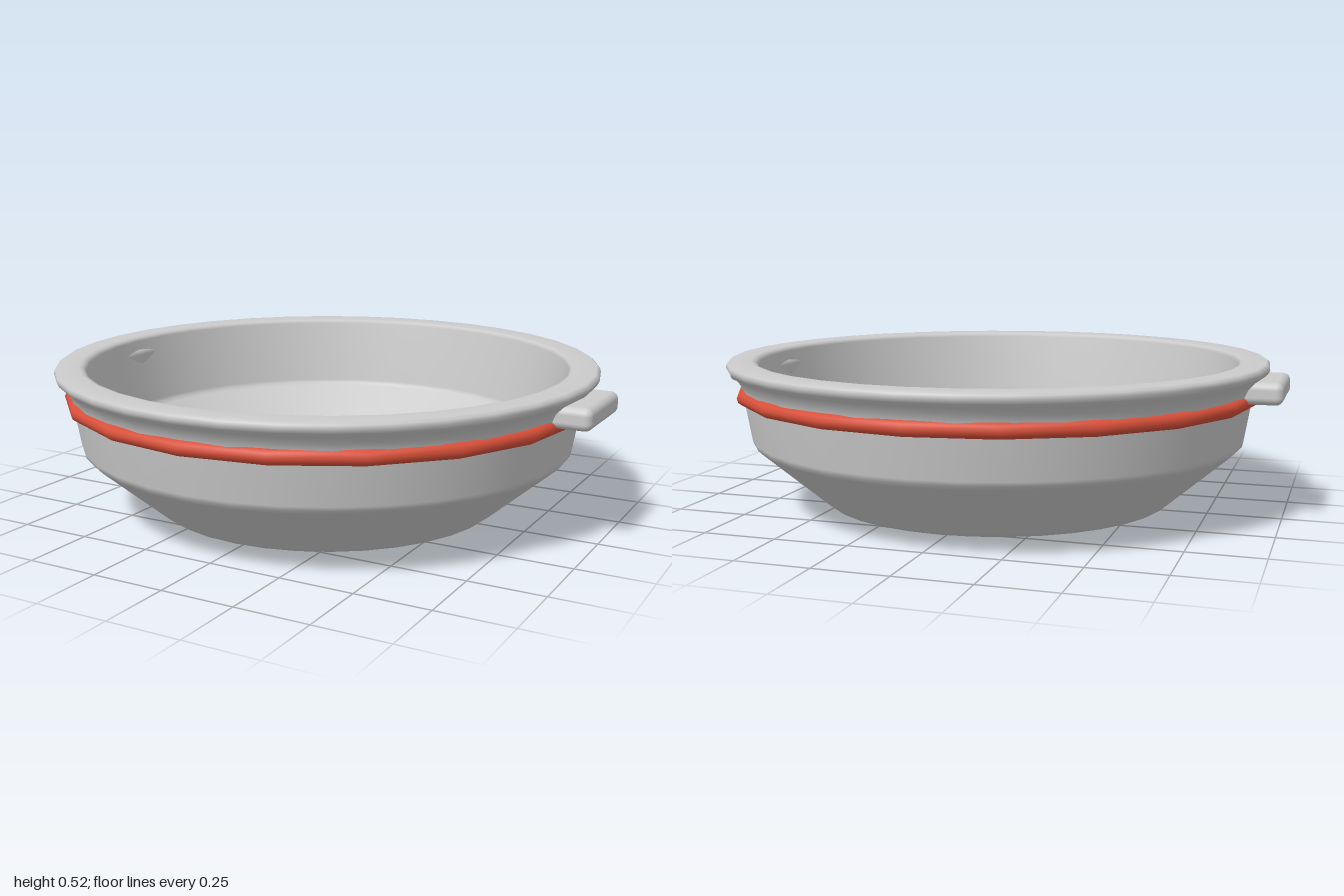
import * as THREE from 'three';
import { RoundedBoxGeometry } from 'three/addons/geometries/RoundedBoxGeometry.js';

const SEGMENTS = 36;

function part(name, geometry, material, parent) {
  const mesh = new THREE.Mesh(geometry, material);
  mesh.name = name;
  parent.add(mesh);
  return mesh;
}

function lathe(points) {
  return new THREE.LatheGeometry(points.map(([r, y]) => new THREE.Vector2(r, y)), SEGMENTS);
}

export function createModel() {
  const model = new THREE.Group();
  model.name = 'bowl';
  const grey = new THREE.MeshStandardMaterial({ color: 0xcccccc });
  const red = new THREE.MeshStandardMaterial({ color: 0xd9503a });

  // Shell: outside from the foot up, over the lip, then down the inside;
  // closely spaced points keep the bends crisp
  part('shell', lathe([
    [0.595, 0.016], [0.61, 0.02], [0.625, 0.032],
    [0.845, 0.222], [0.859, 0.236], [0.863, 0.25],
    [0.888, 0.4], [0.892, 0.425], [0.902, 0.45], [0.92, 0.472],
    [0.936, 0.486], [0.943, 0.5], [0.94, 0.512], [0.93, 0.52],
    [0.86, 0.52], [0.845, 0.516], [0.836, 0.505],
    [0.795, 0.272], [0.79, 0.26], [0.78, 0.25],
    [0.56, 0.09], [0.545, 0.082], [0.525, 0.08], [0, 0.08],
  ]), grey, model);

  // Slightly domed coloured base
  part('basePad', lathe([[0, 0], [0.45, 0], [0.605, 0.018]]), red, model);

  // Coloured band round the outside, below the lip
  const band = part('band', new THREE.TorusGeometry(0.89, 0.025, 10, 20).rotateX(Math.PI / 2), red, model);
  band.position.y = 0.405;

  // Two rounded lug handles set through the wall
  for (const [name, side] of [['leftHandle', 1], ['rightHandle', -1]]) {
    const handle = part(name, new RoundedBoxGeometry(0.18, 0.074, 0.315, 4, 0.025), grey, model);
    handle.position.set(side * 0.91, 0.441, 0);
  }

  return model;
}
